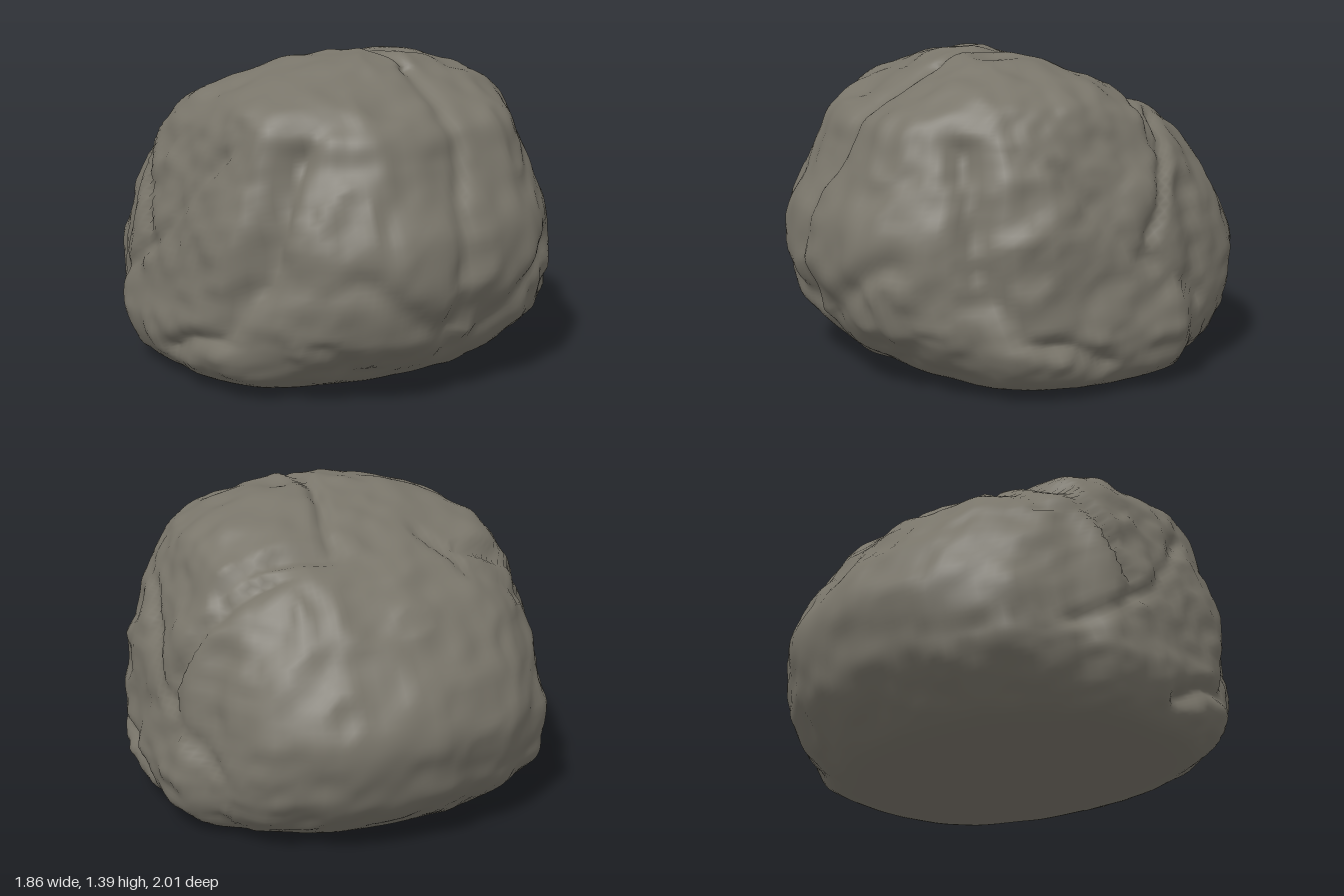
import * as THREE from 'three';
import { mergeVertices } from 'three/addons/utils/BufferGeometryUtils.js';

// Horizontal sections of the boulder: height, half width, front z, back z
const SECTIONS = [
  [0.02, 0, 0, 0], [0.02, 0.45, 0.4, -0.4], [0.02, 0.76, 0.6, -0.62], [0.1, 0.88, 0.76, -0.77],
  [0.22, 0.92, 0.88, -0.9], [0.33, 0.91, 0.94, -0.95], [0.5, 0.88, 0.99, -0.99], [0.7, 0.86, 0.97, -0.91],
  [0.88, 0.81, 0.88, -0.79], [1.0, 0.76, 0.83, -0.7], [1.12, 0.71, 0.77, -0.53],
  [1.22, 0.65, 0.61, -0.33], [1.3, 0.47, 0.45, -0.15], [1.36, 0.26, 0.36, 0.03], [1.385, 0, 0.2, 0.2],
];

// Cracks as polylines seen along one axis: [where it applies, projection, points, width, depth]
const CRACKS = [
  [p => Math.abs(p.x) > 0.4, p => [p.z, p.y],
    [[0.57, 1.05], [0.55, 0.6], [0.42, 0.28], [0.2, 0.25], [0.05, 0.15]], 0.045, 0.05],
  [p => Math.abs(p.x) > 0.4, p => [p.z, p.y], [[-0.42, 1.1], [-0.34, 0.95], [-0.2, 0.65]], 0.035, 0.04],
  [p => Math.abs(p.x) > 0.4, p => [p.z, p.y], [[0.25, 1], [-0.08, 0.62], [-0.5, 0.35]], 0.035, 0.025],
  [p => p.y > 0.9, p => [p.x, p.z], [[0.09, 0.4], [0.08, 0.05], [0.22, -0.38], [0.7, -0.32]], 0.035, 0.035],
  [p => p.y > 0.9, p => [p.x, p.z], [[-0.7, -0.52], [-0.42, -0.56], [-0.25, -0.32]], 0.035, 0.025],
  [p => p.z > 0.4, p => [p.x, p.y], [[0.08, 1.3], [0.03, 1.05], [-0.08, 0.58], [-0.03, 0.2]], 0.045, 0.025],
  [p => p.z > 0.4, p => [Math.abs(p.x), p.y], [[0.1, 0.3], [0.32, 0.42], [0.6, 0.58]], 0.06, 0.03],
  [p => p.z > 0.4, p => [Math.abs(p.x), p.y], [[0.15, 0.05], [0.45, 0.1], [0.68, 0.28]], 0.04, 0.02],
];

const hash = (x, y, z) => {
  let h = Math.imul(x, 374761393) + Math.imul(y, 668265263) + Math.imul(z, 1442695041);
  h = Math.imul(h ^ (h >>> 13), 1274126177);
  return ((h ^ (h >>> 16)) >>> 0) / 2147483648 - 1;
};

// Smooth lattice noise from -1 to 1
function noise(x, y, z) {
  const c = [x, y, z].map(Math.floor);
  const f = [x, y, z].map((v, i) => { const t = v - c[i]; return t * t * (3 - 2 * t); });
  let sum = 0;
  for (let k = 0; k < 8; k++) {
    const o = [k & 1, (k >> 1) & 1, k >> 2];
    const weight = o.reduce((w, bit, i) => w * (bit ? f[i] : 1 - f[i]), 1);
    sum += weight * hash(c[0] + o[0], c[1] + o[1], c[2] + o[2]);
  }
  return sum;
}

function distanceToLine([u, v], points) {
  let best = Infinity;
  for (let i = 0; i + 1 < points.length; i++) {
    const [a, b] = points[i], dx = points[i + 1][0] - a, dy = points[i + 1][1] - b;
    const t = THREE.MathUtils.clamp(((u - a) * dx + (v - b) * dy) / (dx * dx + dy * dy), 0, 1);
    best = Math.min(best, Math.hypot(u - a - t * dx, v - b - t * dy));
  }
  return best;
}

// Closed loft through the sections: squarish rings, squarest at the back, rounder at the foot
function boulderLoft(rows, columns) {
  const outer = new THREE.CatmullRomCurve3(
    SECTIONS.map(([y, w, f]) => new THREE.Vector3(w, y, f)), false, 'catmullrom');
  const rear = new THREE.CatmullRomCurve3(
    SECTIONS.map(([y, , , b]) => new THREE.Vector3(0, y, b)), false, 'catmullrom');
  const positions = [], indices = [];
  for (let i = 0; i <= rows; i++) {
    const a = outer.getPoint(i / rows), back = rear.getPoint(i / rows).z;
    const squareness = THREE.MathUtils.smoothstep(a.y, 0, 0.4);
    for (let j = 0; j < columns; j++) {
      const angle = (j / columns) * Math.PI * 2, c = Math.cos(angle), s = Math.sin(angle);
      const n = 2.5 + squareness * (s < 0 ? 0.7 : 0.3);
      const r = 1 / Math.pow(Math.abs(c) ** n + Math.abs(s) ** n, 1 / n);
      // The back comes to a blunt point on the centre line
      const point = s < 0 ? 1 - 0.05 * squareness * Math.min(1, Math.abs(c * r) * 2) : 1;
      positions.push(a.x * c * r, a.y, (a.z + back) / 2 + ((a.z - back) / 2) * s * r * point);
      if (i < rows) {
        const k = (j + 1) % columns, p = i * columns, q = p + columns;
        indices.push(p + j, q + j, p + k, p + k, q + j, q + k);
      }
    }
  }
  const geometry = new THREE.BufferGeometry();
  geometry.setAttribute('position', new THREE.Float32BufferAttribute(positions, 3));
  geometry.setIndex(indices);
  return mergeVertices(geometry, 1e-5);
}

function weather(geometry) {
  geometry.computeVertexNormals();
  const pos = geometry.attributes.position, p = new THREE.Vector3(), nrm = new THREE.Vector3();
  const { smoothstep } = THREE.MathUtils;
  for (let i = 0; i < pos.count; i++) {
    p.fromBufferAttribute(pos, i);
    nrm.fromBufferAttribute(geometry.attributes.normal, i);
    // Lumps, chips and fine dents, fading on the flat underside
    const wobble = 0.1 * noise(p.x * 5, p.y * 5, p.z * 5);
    let push = 0.012 * noise(p.x * 2.7 + 7, p.y * 2.7, p.z * 2.7)
      + 0.025 * (0.3 - Math.abs(noise(p.x * 5 + wobble, p.y * 5 + 3, p.z * 5)))
      + 0.01 * noise(p.x * 11, p.y * 11, p.z * 11 + 5);
    const roughness = smoothstep(Math.abs(p.x), 0.45, 0.8);
    push += 0.01 * roughness * noise(p.x * 16, p.y * 16, p.z * 16);
    for (const [applies, project, points, width, depth] of CRACKS) {
      if (!applies(p)) continue;
      const [u, v] = project(p);
      const d = distanceToLine([u + wobble * 0.3, v + wobble * 0.3], points);
      push -= depth * Math.exp(-((d / width) ** 2));
    }
    push *= smoothstep(p.y, 0.0, 0.12);
    // Narrower front and back blocks, set in behind steps on both flanks
    const z = p.z + wobble * 0.4, flank = smoothstep(Math.abs(p.x), 0.25, 0.6);
    const inset = 0.075 * smoothstep(z, 0.43, 0.56) + 0.06 * smoothstep(-z, 0.34, 0.48);
    p.addScaledVector(nrm, push);
    p.x -= Math.sign(p.x) * inset * flank;
    // The underside rises slightly to the front
    p.y += 0.02 * p.z * (1 - smoothstep(p.y, 0, 0.4));
    pos.setXYZ(i, p.x, p.y, p.z);
  }
  geometry.computeVertexNormals();
}

export function createModel() {
  const stone = new THREE.MeshStandardMaterial({ color: 0x79756a });
  stone.name = 'stone';
  const geometry = boulderLoft(98, 160);
  weather(geometry);
  const boulder = new THREE.Mesh(geometry, stone);
  boulder.name = 'boulder';
  const group = new THREE.Group();
  group.name = 'rock';
  group.add(boulder);
  return group;
}
